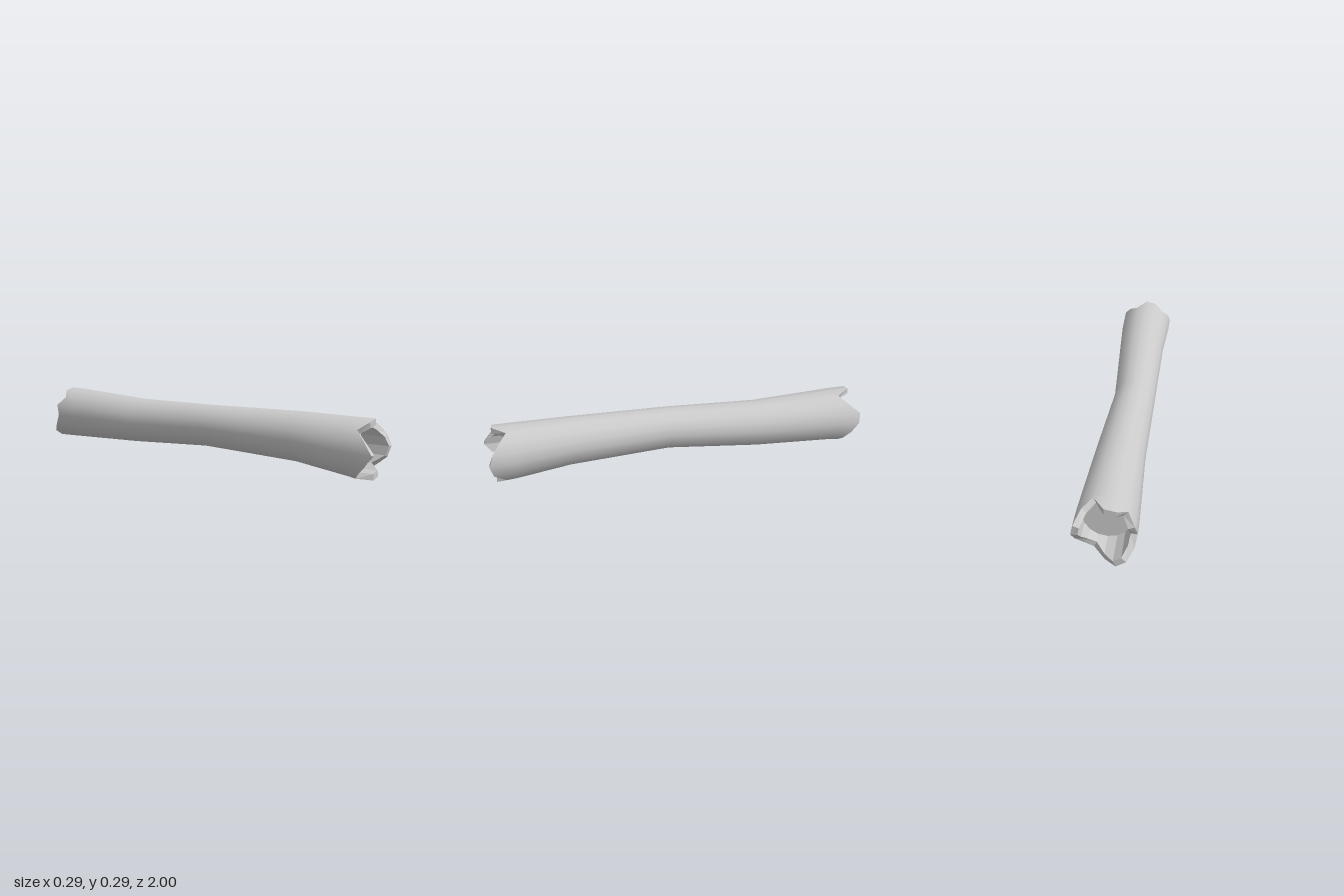
import * as THREE from 'three';

const SIDES = 16;

// one closed ring inside the box x0..x1, y0..y1; z is a number or one depth per corner
function ring(z, x0, x1, y0, y1, scale = 1) {
  return Array.from({ length: SIDES }, (_, i) => {
    const a = (i / SIDES) * Math.PI * 2;
    return [
      (x0 + x1) / 2 + Math.sin(a) * scale * (x1 - x0) / 2,
      (y0 + y1) / 2 + Math.cos(a) * scale * (y1 - y0) / 2,
      Array.isArray(z) ? z[i] : z,
    ];
  });
}

// skin over consecutive rings
function loft(name, rings, flat) {
  const index = [];
  for (let r = 0; r < rings.length - 1; r++) {
    for (let i = 0; i < SIDES; i++) {
      const j = (i + 1) % SIDES;
      const a = r * SIDES + i, b = r * SIDES + j;
      index.push(a, b, b + SIDES, a, b + SIDES, a + SIDES);
    }
  }
  let geo = new THREE.BufferGeometry();
  geo.setAttribute('position', new THREE.Float32BufferAttribute(rings.flat(2), 3));
  geo.setIndex(index);
  if (flat) geo = geo.toNonIndexed();
  geo.computeVertexNormals();
  const mesh = new THREE.Mesh(geo, new THREE.MeshStandardMaterial({ color: 0xcccccc, flatShading: flat }));
  mesh.name = name;
  return mesh;
}

export function createModel() {
  const group = new THREE.Group();
  group.name = 'brokenTube';

  const END = [-0.143, 0.143, 0.0, 0.29];
  const INNER = 0.785;

  // jagged edge depths, clockwise from the top as seen from the front
  const frontTeeth = [0.955, 0.885, 0.925, 0.96, 0.98, 0.965, 0.91, 0.955,
    0.955, 0.89, 0.92, 0.965, 1.0, 0.96, 0.91, 0.95];
  const backTeeth = [0.95, 0.87, 0.91, 0.97, 0.965, 0.93, 0.9, 0.89,
    0.95, 1.0, 1.0, 0.96, 0.93, 0.95, 0.91, 0.95].map((d) => -d);

  // bent, waisted outer surface
  group.add(loft('body', [
    ring(frontTeeth, ...END),
    ring(0.86, -0.142, 0.14, 0.006, 0.29),
    ring(0.58, -0.131, 0.12, 0.043, 0.29),
    ring(0.06, -0.13, 0.085, 0.06, 0.278),
    ring(-0.42, -0.126, 0.12, 0.025, 0.268),
    ring(-0.86, -0.143, 0.141, 0.006, 0.288),
    ring(backTeeth, ...END),
  ], false));

  // hollow ends: rim, inner wall and recessed floor
  const hollow = (teeth, floor) => [
    ring(teeth, ...END),
    ring(teeth, ...END, INNER),
    ring(floor, ...END, INNER),
    ring(floor, ...END, 0.001),
  ];
  group.add(loft('frontBrokenEnd', hollow(frontTeeth, 0.84).reverse(), true));
  group.add(loft('backBrokenEnd', hollow(backTeeth, -0.84), true));

  return group;
}
